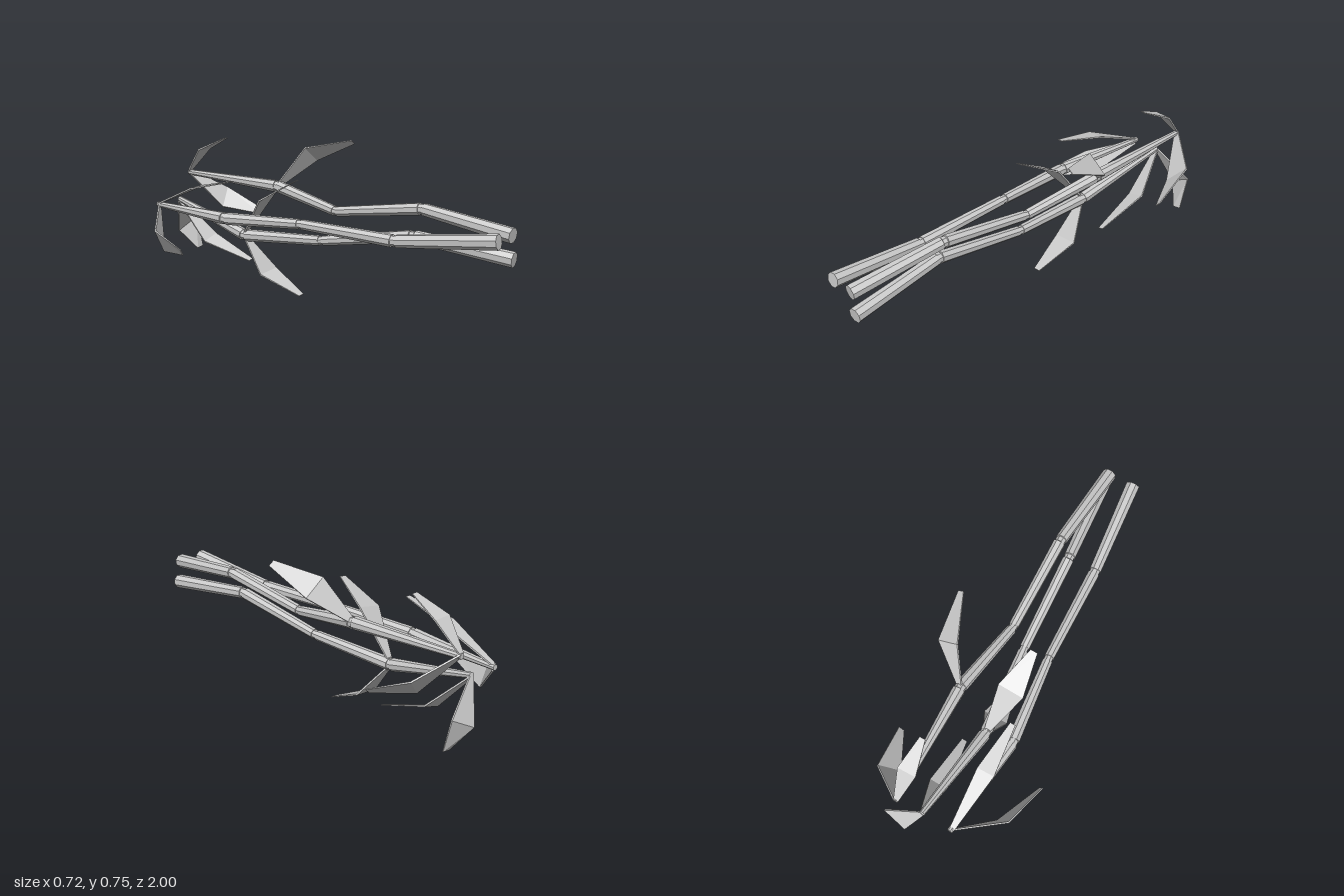
import * as THREE from 'three';

const V = (p) => new THREE.Vector3(...p);
const material = new THREE.MeshStandardMaterial({ color: 0xcccccc, flatShading: true, side: THREE.DoubleSide });

// Eight-sided tapered rod from a to b
function rod(name, a, b, ra, rb) {
  const dir = b.clone().sub(a);
  const mesh = new THREE.Mesh(new THREE.CylinderGeometry(rb, ra, dir.length(), 8), material);
  mesh.position.copy(a).add(b).multiplyScalar(0.5);
  mesh.quaternion.setFromUnitVectors(new THREE.Vector3(0, 1, 0), dir.normalize());
  mesh.rotateY(Math.PI / 8);
  mesh.name = name;
  return mesh;
}

// Jointed stalk: tapered segments with slimmer, short joints between
function stalk(name, points) {
  const group = new THREE.Group();
  group.name = name;
  const radii = [0.036, 0.03, 0.025, 0.031, 0.014];
  const pts = points.map(V);
  let lastEnd = null;
  for (let i = 0; i < pts.length - 1; i++) {
    const dir = pts[i + 1].clone().sub(pts[i]).normalize();
    const start = pts[i].clone().addScaledVector(dir, i > 0 ? 0.011 : 0);
    const end = pts[i + 1].clone().addScaledVector(dir, i < pts.length - 2 ? -0.011 : 0);
    group.add(rod('segment', start, end, radii[i], radii[i + 1]));
    if (lastEnd) group.add(rod('joint', lastEnd, start, radii[i] * 0.86, radii[i] * 0.86));
    lastEnd = end;
  }
  return group;
}

// Thin bent leaf: narrow base, broad middle, narrow tip
function leaf(base, midA, midB, tipA, tipB) {
  const b = V(base);
  const side = V(midB).sub(V(midA)).normalize().multiplyScalar(0.012);
  const rows = [[b.clone().sub(side), b.clone().add(side)], [V(midA), V(midB)], [V(tipA), V(tipB)]];
  const centres = rows.map(([p, q]) => p.clone().add(q).multiplyScalar(0.5));
  const positions = [];
  rows.forEach(([p, q], i) => {
    const along = centres[Math.min(i + 1, 2)].clone().sub(centres[Math.max(i - 1, 0)]);
    const n = q.clone().sub(p).cross(along).normalize().multiplyScalar(i === 2 ? 0.002 : 0.004);
    for (const [c, s] of [[p, 1], [q, 1], [q, -1], [p, -1]]) {
      positions.push(...c.clone().addScaledVector(n, s).toArray());
    }
  });
  const index = [0, 2, 1, 0, 3, 2, 8, 9, 10, 8, 10, 11];
  for (let r = 0; r < 2; r++) {
    for (let k = 0; k < 4; k++) {
      const a = r * 4 + k, c = r * 4 + (k + 1) % 4;
      index.push(a, c, c + 4, a, c + 4, a + 4);
    }
  }
  const g = new THREE.BufferGeometry();
  g.setAttribute('position', new THREE.Float32BufferAttribute(positions, 3));
  g.setIndex(index);
  const flat = g.toNonIndexed();
  flat.computeVertexNormals();
  const mesh = new THREE.Mesh(flat, material);
  mesh.name = 'leaf';
  return mesh;
}

export function createModel() {
  const group = new THREE.Group();
  group.name = 'stalkBundle';

  // Three stalks, cut end first
  group.add(
    stalk('rightStalk', [[-0.05, 0.42, 1], [-0.09, 0.37, 0.51], [-0.105, 0.39, 0], [-0.148, 0.376, -0.43], [-0.1, 0.39, -0.93]]),
    stalk('upperLeftStalk', [[0.08, 0.426, 1], [0.112, 0.488, 0.53], [0.112, 0.425, 0.05], [0.168, 0.503, -0.35], [0.155, 0.528, -0.945]]),
    stalk('lowerLeftStalk', [[0.1, 0.317, 1], [0.055, 0.37, 0.52], [0.038, 0.29, 0.02], [0, 0.27, -0.43], [0.048, 0.4, -0.92]])
  );

  const leaves = new THREE.Group();
  leaves.name = 'leaves';
  group.add(leaves);
  // Base, the two broad corners and the two tip corners of each leaf
  [
    // right stalk tip
    [[-0.1, 0.38, -0.92], [-0.303, 0.3, -0.755], [-0.24, 0.186, -0.755], [-0.36, 0.243, -0.53], [-0.343, 0.214, -0.53]],
    [[-0.105, 0.395, -0.92], [-0.17, 0.505, -0.64], [-0.085, 0.51, -0.64], [-0.148, 0.556, -0.4], [-0.122, 0.558, -0.4]],
    // lower left stalk joint
    [[0, 0.275, -0.43], [-0.105, 0.475, -0.25], [0.022, 0.502, -0.25], [-0.078, 0.58, -0.06], [-0.042, 0.586, -0.06]],
    [[0, 0.27, -0.43], [-0.038, 0.09, -0.3], [0.088, 0.102, -0.3], [0.014, 0.002, -0.1], [0.05, 0.005, -0.1]],
    // lower left stalk tip
    [[0.048, 0.395, -0.92], [0.04, 0.19, -0.74], [0.13, 0.22, -0.74], [0.085, 0.115, -0.475], [0.112, 0.122, -0.475]],
    [[0.05, 0.395, -0.92], [0.115, 0.21, -0.995], [0.232, 0.275, -0.97], [0.188, 0.107, -0.93], [0.23, 0.114, -0.93]],
    // upper left stalk joint
    [[0.168, 0.505, -0.35], [0.235, 0.7, -0.23], [0.338, 0.628, -0.23], [0.325, 0.744, -0.01], [0.353, 0.725, -0.01]],
    // upper left stalk tip
    [[0.155, 0.53, -0.94], [0.33, 0.433, -0.83], [0.243, 0.342, -0.79], [0.36, 0.334, -0.61], [0.336, 0.31, -0.61]],
    [[0.152, 0.535, -0.94], [0.103, 0.66, -0.83], [0.193, 0.66, -0.83], [0.135, 0.727, -0.68], [0.163, 0.727, -0.68]],
  ].forEach((spec) => leaves.add(leaf(...spec)));

  return group;
}
